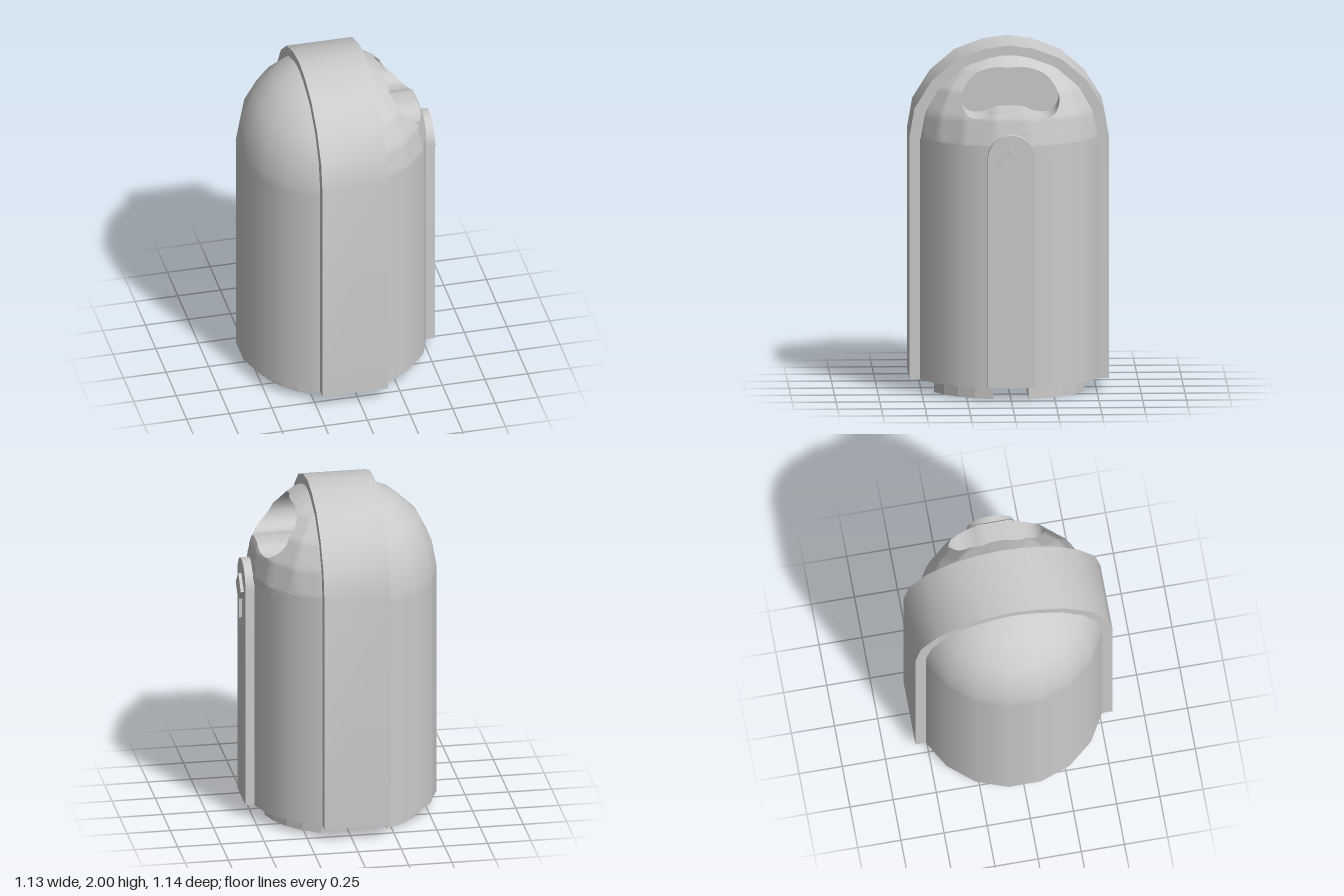
import * as THREE from 'three';
import { toCreasedNormals } from 'three/addons/utils/BufferGeometryUtils.js';

const CX = -0.03, R = 0.545, BASE = 0.075, SPRING = 1.47;
const DOME = [[0.545, SPRING], [0.518, 1.62], [0.447, 1.76], [0.335, 1.87], [0.193, 1.945], [0, 1.975]];

const material = new THREE.MeshStandardMaterial({ color: 0xcccccc });
const thin = new THREE.MeshStandardMaterial({ color: 0xcccccc, side: THREE.DoubleSide });

// Dome radius at height y
function radiusAt(y) {
  if (y <= SPRING) return R;
  for (let i = 1; i < DOME.length; i++) {
    const [r0, y0] = DOME[i - 1], [r1, y1] = DOME[i];
    if (y <= y1) return r0 + (r1 - r0) * (y - y0) / (y1 - y0);
  }
  return 0;
}

// x of the right-hand, 18-sided body surface at (z, y); -1 where there is none
function surfaceX(z, y) {
  const r = radiusAt(y), a = Math.abs(z);
  if (a >= r) return -1;
  for (let d = -10; d < 90; d += 20) {
    const t0 = d * Math.PI / 180, t1 = (d + 20) * Math.PI / 180;
    const s0 = r * Math.sin(t0), s1 = r * Math.sin(t1);
    if (a <= s1) return CX + r * THREE.MathUtils.lerp(Math.cos(t0), Math.cos(t1), (a - s0) / (s1 - s0));
  }
  return -1;
}

// Closed loops of [x, y, z] points joined from the inner loop to the outer one
function loft(rings) {
  const n = rings[0].length, index = [];
  for (let j = 0; j < rings.length - 1; j++) {
    for (let i = 0; i < n; i++) {
      const k = (i + 1) % n, a = j * n + i, b = j * n + k;
      index.push(a, a + n, b + n, a, b + n, b);
    }
  }
  const g = new THREE.BufferGeometry();
  g.setAttribute('position', new THREE.Float32BufferAttribute(rings.flat(2), 3));
  g.setIndex(index);
  g.computeVertexNormals();
  return g;
}

// Outline in the (z, y) plane, given thickness from x0 to x1
function slab(points, x0, x1) {
  const shape = new THREE.Shape(points.map(([z, y]) => new THREE.Vector2(z, y)));
  const g = new THREE.ExtrudeGeometry(shape, { depth: x1 - x0, bevelEnabled: false });
  return toCreasedNormals(g.rotateY(Math.PI / 2).translate(x0, 0, 0), 0.5);
}

// Half outline from bottom to top, mirrored into a full one
const mirrored = half => [...half, ...half.filter(p => p[0] > 0).reverse().map(([z, y]) => [-z, y])];

export function createModel() {
  const model = new THREE.Group();
  const add = (name, geometry, mat = material) => {
    const mesh = new THREE.Mesh(geometry, mat);
    mesh.name = name;
    model.add(mesh);
    return mesh;
  };
  const vec = pts => pts.map(([r, y]) => new THREE.Vector2(r, y));

  // Body: left half with its full dome, right half up to the dome
  const left = new THREE.LatheGeometry(vec([[R, BASE], [R, 1.4], ...DOME]), 9, Math.PI, Math.PI);
  add('leftBody', left.translate(CX, 0, 0));
  const right = new THREE.LatheGeometry(vec([[R, BASE], [R, SPRING]]), 9, 0, Math.PI);
  add('rightBody', right.translate(CX, 0, 0));
  const floor = new THREE.CircleGeometry(R, 18, Math.PI / 18).rotateX(Math.PI / 2);
  add('underside', floor.translate(CX, BASE, 0));

  // Bean-shaped opening outline in (z, y)
  const half = [[0.1, 1.887], [0.19, 1.857], [0.255, 1.79], [0.281, 1.72], [0.262, 1.655],
    [0.215, 1.623], [0.14, 1.627], [0.08, 1.65]];
  const outline = [[0, 1.89], ...half, [0, 1.656], ...half.slice().reverse().map(([z, y]) => [-z, y])];
  const bean = new THREE.CatmullRomCurve3(outline.map(([z, y]) => new THREE.Vector3(0, y, z)), true)
    .getSpacedPoints(96).slice(0, 96).map(p => [p.z, p.y]);

  // Right dome: rays from the opening's rim out to the band and the body
  const MID = 1.75;
  const rays = bean.map(([z, y]) => {
    let lo = 1, hi = 12;
    for (let i = 0; i < 30; i++) {
      const t = (lo + hi) / 2, py = MID + (y - MID) * t;
      if (py > 1.43 && surfaceX(z * t, py) > 0.13) lo = t; else hi = t;
    }
    return lo;
  });
  const rings = [];
  for (let j = 0; j <= 16; j++) {
    rings.push(bean.map(([z, y], i) => {
      const t = 1 + (rays[i] - 1) * j / 16, py = MID + (y - MID) * t;
      return [surfaceX(z * t, py), py, z * t];
    }));
  }
  add('rightDome', loft(rings));

  // Recess behind the opening
  const back = bean.map(([z, y]) => [0.17, y, z]);
  add('recessWall', loft([back, rings[0]]), thin);
  add('recessBack', loft([bean.map(() => [0.17, MID, 0]), back]));

  // Raised band over the middle
  add('centreBand', slab(mirrored([[0.57, BASE], [0.57, 1.47], [0.54, 1.64], [0.44, 1.8],
    [0.3, 1.92], [0.14, 1.98], [0, 2]]), -0.22, 0.163));

  // Round-topped panel on the side
  const panel = [[0.135, BASE + 0.005]];
  for (let i = 0; i <= 8; i++) {
    const a = i * Math.PI / 16;
    panel.push([i === 8 ? 0 : 0.135 * Math.cos(a), 1.405 + 0.135 * Math.sin(a)]);
  }
  add('sidePanel', slab(mirrored(panel), 0.42, 0.545));

  // Diamond plate with a stem
  add('diamondPlate', slab(mirrored([[0.02, 1.19], [0.02, 1.305], [0.085, 1.37], [0, 1.455]]), 0.54, 0.563));

  // Four feet: sectors with a square inner corner
  for (const sx of [1, -1]) {
    for (const sz of [1, -1]) {
      const pts = [new THREE.Vector2(sx * 0.19, sz * 0.1)];
      const a0 = Math.asin(0.1 / 0.47), a1 = Math.acos(0.19 / 0.47);
      for (let i = 0; i <= 4; i++) {
        const a = a0 + (a1 - a0) * i / 4;
        pts.push(new THREE.Vector2(sx * 0.47 * Math.cos(a), sz * 0.47 * Math.sin(a)));
      }
      const g = new THREE.ExtrudeGeometry(new THREE.Shape(pts), { depth: BASE, bevelEnabled: false });
      add('foot', g.rotateX(-Math.PI / 2).translate(CX, 0, 0));
    }
  }
  return model;
}
